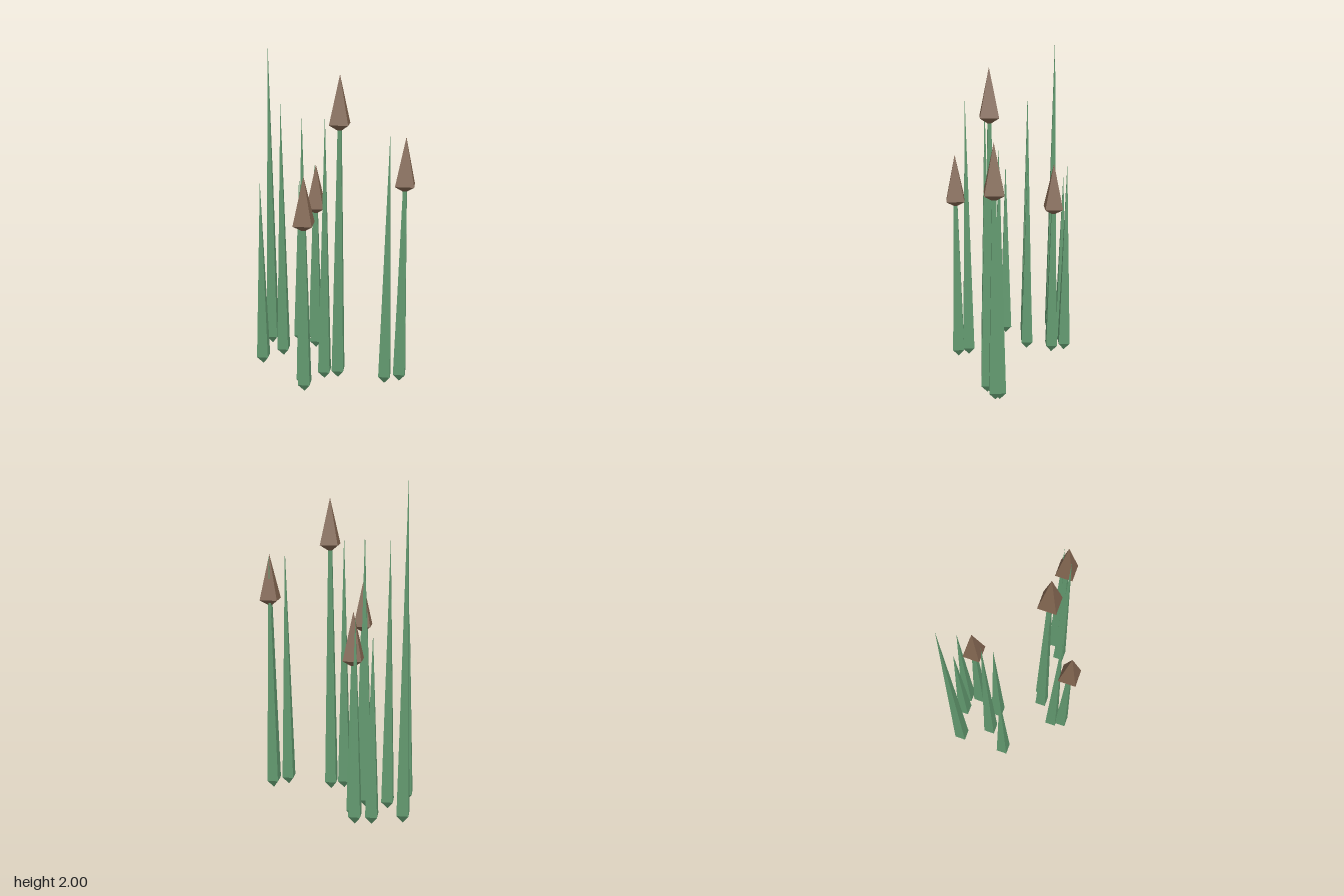
import * as THREE from 'three';

const green = new THREE.MeshStandardMaterial({ color: 0x62996f, flatShading: true });
const brown = new THREE.MeshStandardMaterial({ color: 0x80644f, flatShading: true });

// Four-sided spindle from [radius, height] pairs, listed from bottom to top
function spindle(name, profile, material, x, z) {
  const points = profile.map(([r, y]) => new THREE.Vector2(r, y));
  const mesh = new THREE.Mesh(new THREE.LatheGeometry(points, 4), material);
  mesh.name = name;
  mesh.position.set(x, 0, z);
  return mesh;
}

// Pointed leaves: x, z, height
const blades = [
  [-0.06, -0.475, 2.0], [0.10, -0.38, 1.16], [0.177, -0.318, 1.25],
  [-0.275, -0.255, 1.2], [-0.107, -0.273, 1.66], [-0.017, -0.173, 1.27],
  [-0.24, 0.14, 1.67], [-0.08, 0.14, 1.65], [0.177, 0.408, 1.55],
  [0.286, 0.42, 1.52],
];

// Stems carrying a seed head: x, z, height of the head's tip
const cattails = [
  [-0.273, 0.2, 1.33], [-0.005, 0.18, 1.87], [0.27, 0.44, 1.525], [0.134, -0.242, 1.26],
];

export function createModel() {
  const model = new THREE.Group();
  model.name = 'reeds';

  for (const [x, z, h] of blades) {
    model.add(spindle('blade', [[0, 0], [0.05, 0.055], [0, h]], green, x, z));
  }

  for (const [x, z, top] of cattails) {
    const cattail = new THREE.Group();
    cattail.name = 'cattail';
    cattail.add(
      spindle('stem', [[0, 0], [0.05, 0.055], [0.015, top - 0.28], [0, top - 0.05]], green, x, z),
      spindle('seedHead', [[0, top - 0.325], [0.077, top - 0.28], [0, top]], brown, x, z),
    );
    model.add(cattail);
  }
  return model;
}
